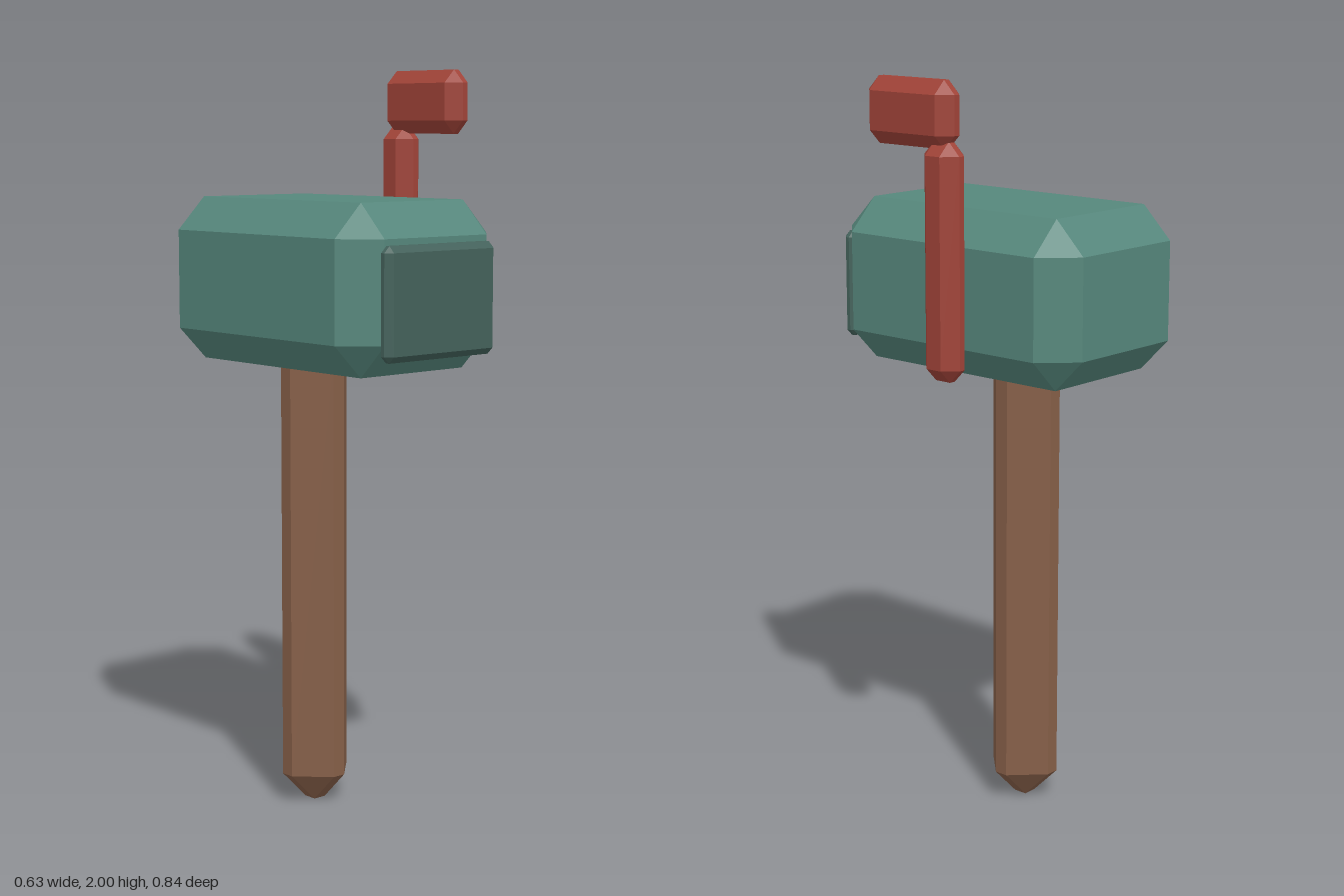
import * as THREE from 'three';
import { ConvexGeometry } from 'three/addons/geometries/ConvexGeometry.js';

const paint = (name, color) => {
  const m = new THREE.MeshStandardMaterial({ color, flatShading: true });
  m.name = name;
  return m;
};

// Box from min to max with every edge cut at 45 degrees and triangular corners
function chamferBox(name, min, max, bevel, material) {
  const size = max.map((v, i) => (v - min[i]) / 2);
  const points = [];
  for (const sx of [-1, 1]) for (const sy of [-1, 1]) for (const sz of [-1, 1]) {
    for (let axis = 0; axis < 3; axis++) {
      const p = size.map((h, i) => (i === axis ? h : h - bevel));
      points.push(new THREE.Vector3(p[0] * sx, p[1] * sy, p[2] * sz));
    }
  }
  const mesh = new THREE.Mesh(new ConvexGeometry(points), material);
  mesh.name = name;
  mesh.position.set(...min.map((v, i) => (v + max[i]) / 2));
  return mesh;
}

export function createModel() {
  const green = paint('green box paint', 0x56877c);
  const darkGreen = paint('dark green door paint', 0x44625b);
  const wood = paint('brown wood', 0x865f48);
  const red = paint('red flag paint', 0xa04338);

  const model = new THREE.Group();
  model.name = 'mailbox';

  // Post, running up into the box
  model.add(chamferBox('post', [-0.153, 0, -0.186], [0.048, 1.32, 0.016], 0.082, wood));

  // Box and its front door
  model.add(chamferBox('box', [-0.317, 1.225, -0.42], [0.212, 1.663, 0.388], 0.087, green));
  model.add(chamferBox('door', [-0.243, 1.27, 0.373], [0.137, 1.56, 0.418], 0.017, darkGreen));

  // Signal flag on the left side
  const flag = new THREE.Group();
  flag.name = 'flag';
  flag.add(chamferBox('flagPole', [0.228, 1.24, -0.149], [0.315, 1.85, -0.031], 0.035, red));
  flag.add(chamferBox('flagPlate', [0.228, 1.83, -0.134], [0.315, 2, 0.16], 0.035, red));
  model.add(flag);

  return model;
}
